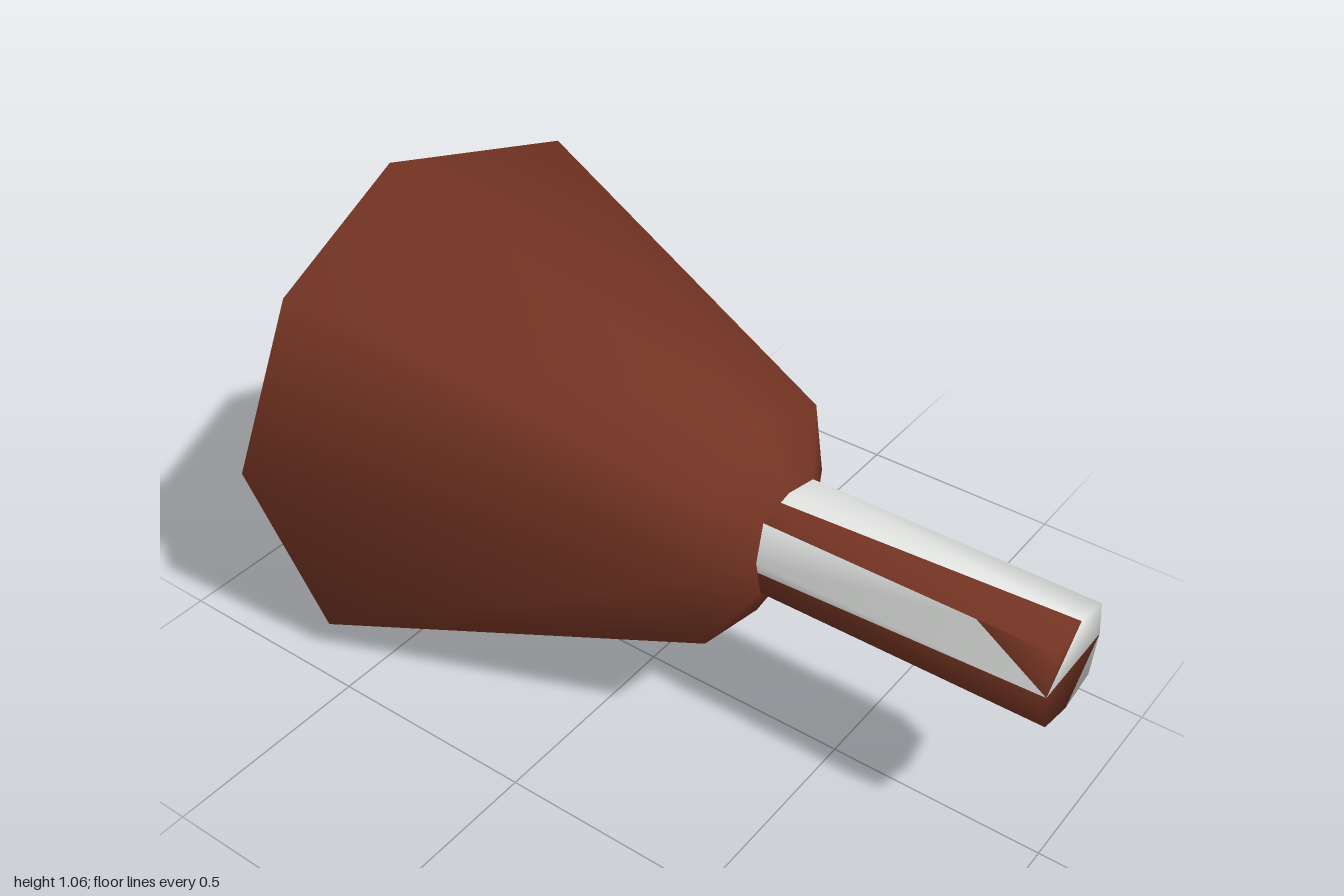
import * as THREE from 'three';

const CY = 0.53; // height of the long axis

const brown = new THREE.MeshStandardMaterial({ color: 0x743423 });
brown.name = 'rust brown';
const white = new THREE.MeshStandardMaterial({ color: 0xe4e6e4 });
white.name = 'off white';

// Point k of a squarish octagon ring: mid-sides at x and reach r,
// corners at cx and reach c
function ringPoint([x, r, c, cx = x], k) {
  const a = (k * Math.PI) / 4;
  const s = k % 2 ? c * Math.SQRT2 : r;
  return [k % 2 ? cx : x, CY + Math.sin(a) * s, Math.cos(a) * s];
}

function indexed(positions, indices) {
  const g = new THREE.BufferGeometry();
  g.setAttribute('position', new THREE.Float32BufferAttribute(positions, 3));
  g.setIndex(indices);
  g.computeVertexNormals();
  return g;
}

// Smooth skin over octagon rings along x, closed by a point at tipX
function loft(tipX, rings) {
  const pos = [], idx = [];
  rings.forEach((ring) => {
    for (let k = 0; k < 8; k++) pos.push(...ringPoint(ring, k));
  });
  const tip = rings.length * 8;
  pos.push(tipX, CY, 0);
  for (let k = 0; k < 8; k++) {
    const next = (k + 1) % 8;
    idx.push(tip, k, next);
    for (let i = 0; i < rings.length - 1; i++) {
      const a = i * 8 + k, b = i * 8 + next;
      // diagonals start at the mid-sides, so both halves mirror
      if (k % 2) idx.push(a, a + 8, b + 8, a, b + 8, b);
      else idx.push(a, a + 8, b, b, a + 8, b + 8);
    }
  }
  return indexed(pos, idx);
}

export function createModel() {
  const model = new THREE.Group();
  model.name = 'taperedHead';
  const add = (name, geometry, material) => {
    const mesh = new THREE.Mesh(geometry, material);
    mesh.name = name;
    model.add(mesh);
  };

  // Tapered head with a pointed end and a rounded neck
  add('head', loft(-1, [
    [-0.83, 0.295, 0.245],
    [-0.72, 0.53, 0.44, -0.61],
    [0.28, 0.237, 0.195],
    [0.345, 0.112, 0.092],
  ]), brown);

  // Stem: patchy white and brown facets on one smooth octagonal rod
  const pos = [];
  for (const x of [0.33, 1]) {
    for (let k = 0; k < 8; k++) pos.push(...ringPoint([x, 0.112, 0.092], k));
  }
  pos.push(...ringPoint([0.83, 0.112, 0.092], 1)); // 16 splits the front facet
  pos.push(0.33, CY - 0.03, 0.105); // 17 splits the lower front facet
  pos.push(0.33, CY + 0.105, 0.03); // 18 splits the upper front facet
  const whiteTris = [], brownTris = [];
  const whiteSides = [2, 3, 5];
  for (let k = 2; k < 7; k++) {
    const list = whiteSides.includes(k) ? whiteTris : brownTris;
    list.push(k, k + 8, k + 1, k + 1, k + 8, k + 9);
  }
  // Split front facets
  whiteTris.push(0, 8, 16, 0, 16, 1, 17, 8, 0, 18, 10, 2);
  brownTris.push(16, 8, 9, 7, 15, 17, 17, 15, 8, 1, 9, 18, 18, 9, 10);
  // End cap
  whiteTris.push(8, 12, 10, 10, 12, 11, 12, 14, 13);
  brownTris.push(8, 10, 9, 8, 14, 12, 8, 15, 14);
  const stem = indexed(pos, [...whiteTris, ...brownTris]);
  stem.addGroup(0, whiteTris.length, 0);
  stem.addGroup(whiteTris.length, brownTris.length, 1);
  add('stem', stem, [white, brown]);

  return model;
}
